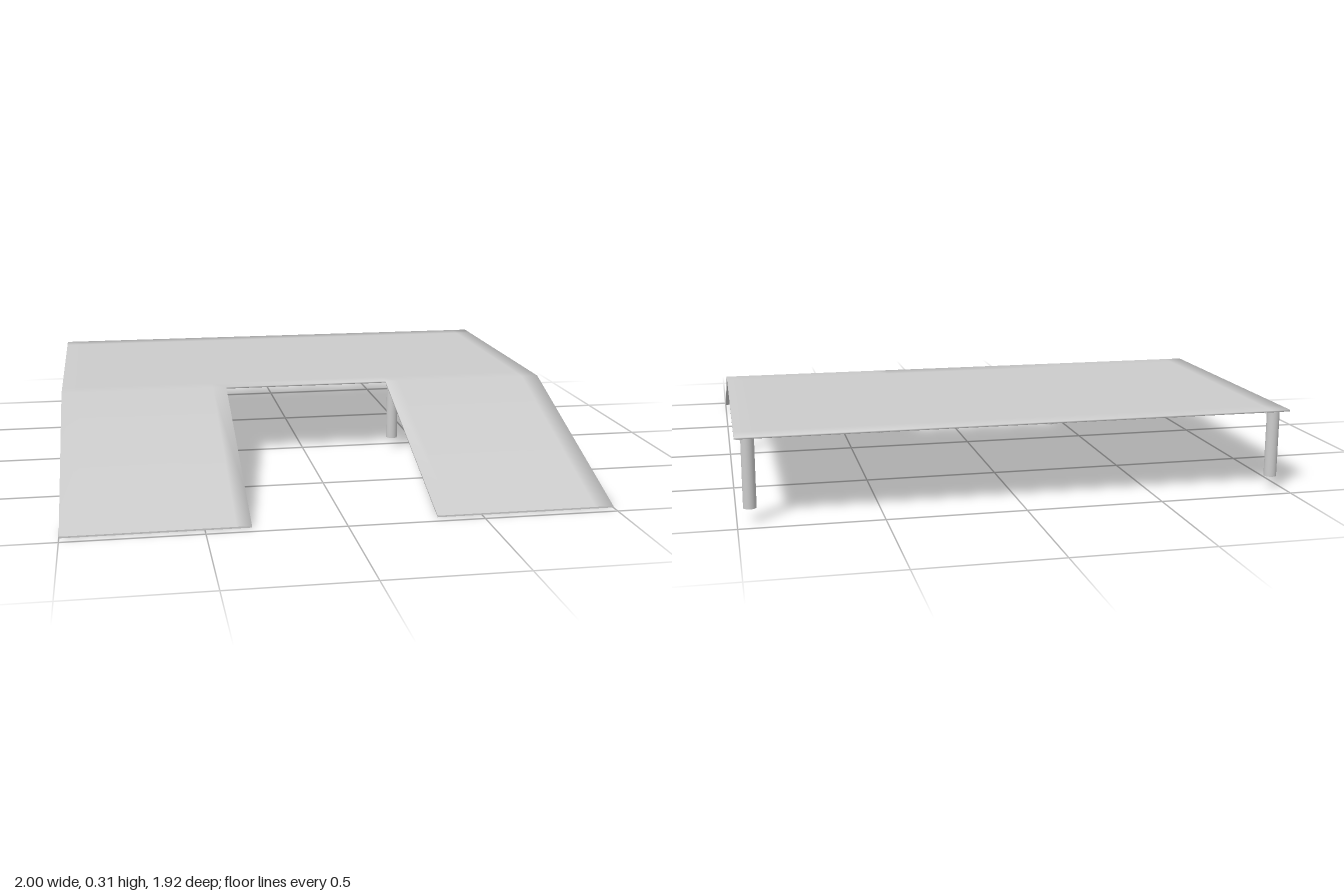
import * as THREE from 'three';

const THICK = 0.006, TOP = 0.305, FOLD = 0.11, FRONT = 0.96;
const XS = [-1, -0.93, -0.39, -0.335, 0.335, 0.39, 0.93, 1];
const ZS = [-0.96, -0.88, 0.03, FOLD, 0.8, FRONT];

// Height of the upper face: level deck, then a straight ramp down to the ground
const height = (z) => (z <= FOLD ? TOP : THREE.MathUtils.mapLinear(z, FOLD, FRONT, TOP, THICK));

// A cell of the plan is solid unless it lies in the notch between the ramps
const solid = (i, j) =>
  i >= 0 && j >= 0 && i < XS.length - 1 && j < ZS.length - 1 && !(i === 3 && j >= 3);

function createDeckGeometry() {
  const quads = [];
  const vertex = (i, j, low) => ({
    key: `${i},${j},${low}`,
    p: new THREE.Vector3(XS[i], height(ZS[j]) - (low ? THICK : 0), ZS[j]),
  });
  for (let i = 0; i < XS.length - 1; i++) {
    for (let j = 0; j < ZS.length - 1; j++) {
      if (!solid(i, j)) continue;
      const corners = [[i, j], [i, j + 1], [i + 1, j + 1], [i + 1, j]];
      const neighbours = [[i - 1, j], [i, j + 1], [i + 1, j], [i, j - 1]];
      const upper = corners.map(([a, b]) => vertex(a, b, false));
      const lower = corners.map(([a, b]) => vertex(a, b, true));
      quads.push({ v: upper }, { v: [...lower].reverse() });
      // Rim wherever the neighbouring cell is empty; the ramp toe stays sharp
      neighbours.forEach(([a, b], k) => {
        if (solid(a, b)) return;
        const n = (k + 1) % 4;
        quads.push({ v: [upper[k], lower[k], lower[n], upper[n]], sharp: b === ZS.length - 1 });
      });
    }
  }
  // Soft normals: every quad that meets a corner counts equally
  const sums = new Map();
  for (const q of quads) {
    const [a, b, c] = q.v.map((v) => v.p);
    q.n = b.clone().sub(a).cross(c.clone().sub(b)).normalize();
    if (q.sharp) continue;
    for (const { key } of q.v) {
      if (!sums.has(key)) sums.set(key, new THREE.Vector3());
      sums.get(key).add(q.n);
    }
  }
  const positions = [], normals = [];
  for (const q of quads) {
    for (const k of [0, 1, 2, 0, 2, 3]) {
      const { p, key } = q.v[k];
      const n = q.sharp ? q.n : sums.get(key).clone().normalize();
      positions.push(p.x, p.y, p.z);
      normals.push(n.x, n.y, n.z);
    }
  }
  const geometry = new THREE.BufferGeometry();
  geometry.setAttribute('position', new THREE.Float32BufferAttribute(positions, 3));
  geometry.setAttribute('normal', new THREE.Float32BufferAttribute(normals, 3));
  return geometry;
}

export function createModel() {
  const model = new THREE.Group();
  model.name = 'rampedPlatform';
  const material = new THREE.MeshStandardMaterial({ color: 0xcccccc });

  // Thin platform with two ramps
  const deck = new THREE.Mesh(createDeckGeometry(), material);
  deck.name = 'deckAndRamps';
  model.add(deck);

  // Posts: four along the fold, two at the back corners
  const postBottom = 0.048, postTop = TOP - THICK / 2;
  const postGeometry = new THREE.CylinderGeometry(0.023, 0.023, postTop - postBottom, 32);
  const posts = [['outerFrontPost', 0.955, 0.06], ['innerFrontPost', 0.377, 0.06], ['backPost', 0.955, -0.917]];
  for (const [name, x, z] of posts) {
    for (const side of [1, -1]) {
      const post = new THREE.Mesh(postGeometry, material);
      post.name = name + (side > 0 ? 'Left' : 'Right');
      post.position.set(side * x, (postTop + postBottom) / 2, z);
      model.add(post);
    }
  }
  return model;
}
